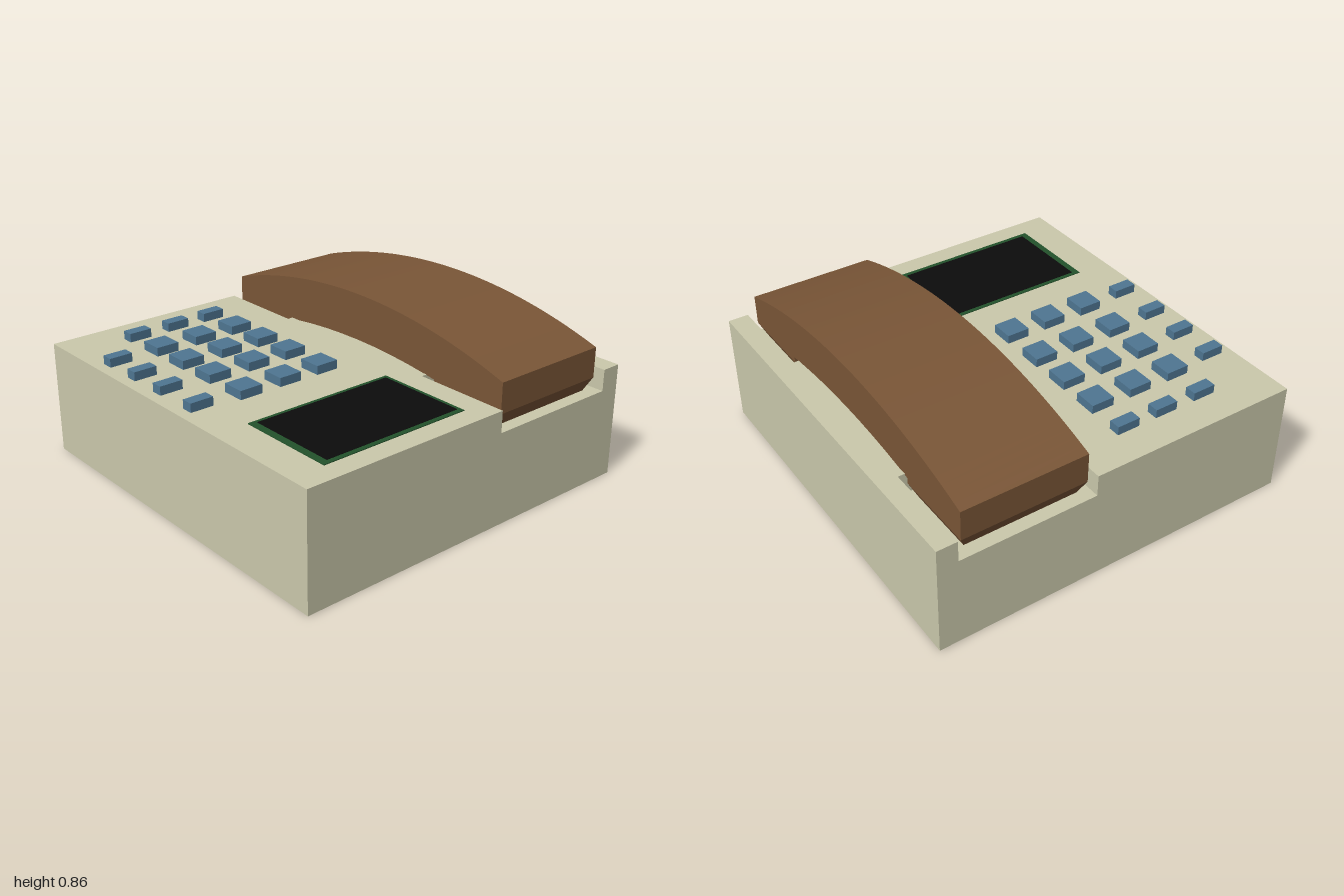
import * as THREE from 'three';
import { mergeGeometries } from 'three/addons/utils/BufferGeometryUtils.js';

const mat = (color, side = THREE.FrontSide) => new THREE.MeshStandardMaterial({ color, flatShading: true, side });
const W = 0.97, D = 1, H = 0.585, FLOOR = 0.475;
const NX0 = 0.15, NX1 = 0.865, NF = 0.49, NB = -0.52; // cradle recess limits

const outline = (pts) => new THREE.ShapeGeometry(new THREE.Shape(pts.map(([x, y]) => new THREE.Vector2(x, y))));

// Desk housing: a thin shell with a recess open at the front and at the back
function housing() {
  const parts = [];
  const profile = [[-W, 0], [W, 0], [W, H], [NX1, H], [NX1, FLOOR], [NX0, FLOOR], [NX0, H], [-W, H]];
  parts.push(outline(profile).translate(0, 0, D));
  parts.push(outline(profile.map(([x, y]) => [-x, y])).rotateY(Math.PI).translate(0, 0, -D));
  // top plate, drawn in (x, -z)
  parts.push(outline([
    [-W, -D], [NX0, -D], [NX0, -NF], [NX1, -NF], [NX1, -D], [W, -D],
    [W, D], [NX1, D], [NX1, -NB], [NX0, -NB], [NX0, D], [-W, D],
  ]).rotateX(-Math.PI / 2).translate(0, H, 0));
  const plane = (w, h, rx, ry, x, y, z) =>
    parts.push(new THREE.PlaneGeometry(w, h).rotateX(rx).rotateY(ry).translate(x, y, z));
  plane(2 * W, 2 * D, Math.PI / 2, 0, 0, 0, 0);
  for (const s of [-1, 1]) plane(2 * D, H, 0, s * Math.PI / 2, s * W, H / 2, 0);
  // recess floors and walls
  const wallH = H - FLOOR, wallY = (H + FLOOR) / 2, midX = (NX0 + NX1) / 2;
  for (const [inner, s] of [[NF, 1], [NB, -1]]) {
    const len = D - Math.abs(inner), midZ = inner + s * len / 2;
    plane(NX1 - NX0, len, -Math.PI / 2, 0, midX, FLOOR, midZ);
    plane(NX1 - NX0, wallH, 0, s > 0 ? 0 : Math.PI, midX, wallY, inner);
    plane(len, wallH, 0, Math.PI / 2, NX0, wallY, midZ);
    plane(len, wallH, 0, -Math.PI / 2, NX1, wallY, midZ);
  }
  return mergeGeometries(parts);
}

// Handset: arched bar drawn from the side, extruded across its width
function handsetBar(x0, x1, end, padInner, padTop) {
  const shape = new THREE.Shape();
  shape.moveTo(-end, padTop);
  shape.lineTo(-padInner, padTop);
  shape.lineTo(-padInner, 0.575);
  for (let i = -4; i <= 4; i++) {
    const z = i * 0.12;
    shape.lineTo(z, 0.615 - 0.136 * z * z);
  }
  shape.lineTo(padInner, 0.575);
  shape.lineTo(padInner, padTop);
  shape.lineTo(end, padTop);
  const rise = 0.155, r = (end * end + rise * rise) / (2 * rise), a = Math.asin(end / r);
  shape.absarc(0, 0.855 - r, r, Math.PI / 2 - a, Math.PI / 2 + a, false);
  return new THREE.ExtrudeGeometry(shape, { depth: x1 - x0, bevelEnabled: false, curveSegments: 20 })
    .rotateY(-Math.PI / 2).translate(x1, 0, 0);
}

// Ear and mouth pad: a box whose lower face is drawn in
function taperedPad(w, h, d, inset) {
  const geo = new THREE.BoxGeometry(w, h, d), p = geo.attributes.position;
  for (let i = 0; i < p.count; i++) {
    if (p.getY(i) > 0) continue;
    p.setX(i, p.getX(i) - Math.sign(p.getX(i)) * inset);
    p.setZ(i, p.getZ(i) - Math.sign(p.getZ(i)) * inset);
  }
  geo.computeVertexNormals();
  return geo;
}

export function createModel() {
  const group = new THREE.Group();
  const add = (name, geo, material, parent = group) => {
    const mesh = new THREE.Mesh(geo, material);
    mesh.name = name;
    parent.add(mesh);
    return mesh;
  };

  add('housing', housing(), mat(0xcbc9ac, THREE.DoubleSide));

  // Handset with its two pads
  const brown = mat(0x7a5637);
  const handset = new THREE.Group();
  handset.name = 'handset';
  group.add(handset);
  const x0 = 0.18, x1 = 0.83, end = 0.965, padInner = 0.54, padTop = 0.545;
  add('handsetBar', handsetBar(x0, x1, end, padInner, padTop), brown, handset);
  for (const s of [-1, 1]) {
    const h = padTop - FLOOR;
    add(s > 0 ? 'mouthPad' : 'earPad', taperedPad(x1 - x0, h, end - padInner, 0.033), brown, handset)
      .position.set((x0 + x1) / 2, FLOOR + h / 2, s * (end + padInner) / 2);
  }

  // Display panel in its frame
  add('displayFrame', new THREE.BoxGeometry(0.81, 0.004, 0.51), mat(0x23522b)).position.set(-0.385, H + 0.002, 0.635);
  add('displayPanel', new THREE.BoxGeometry(0.755, 0.004, 0.465), mat(0x0c0c0c)).position.set(-0.377, H + 0.004, 0.633);

  // Keypad: square keys, a short row behind and a short column beside them
  const blue = mat(0x4f7692), keyH = 0.045;
  const keypad = new THREE.Group();
  keypad.name = 'keypad';
  group.add(keypad);
  const key = (name, x, z, d) =>
    add(name, new THREE.BoxGeometry(0.122, keyH, d), blue, keypad).position.set(x, H + keyH / 2, z);
  for (const x of [-0.603, -0.376, -0.155]) {
    for (const z of [0.1, -0.14, -0.36, -0.58]) key('numberKey', x, z, 0.12);
    key('topRowKey', x, -0.797, 0.06);
  }
  for (const z of [0.097, -0.146, -0.363, -0.578]) key('sideKey', -0.852, z, 0.06);

  return group;
}
